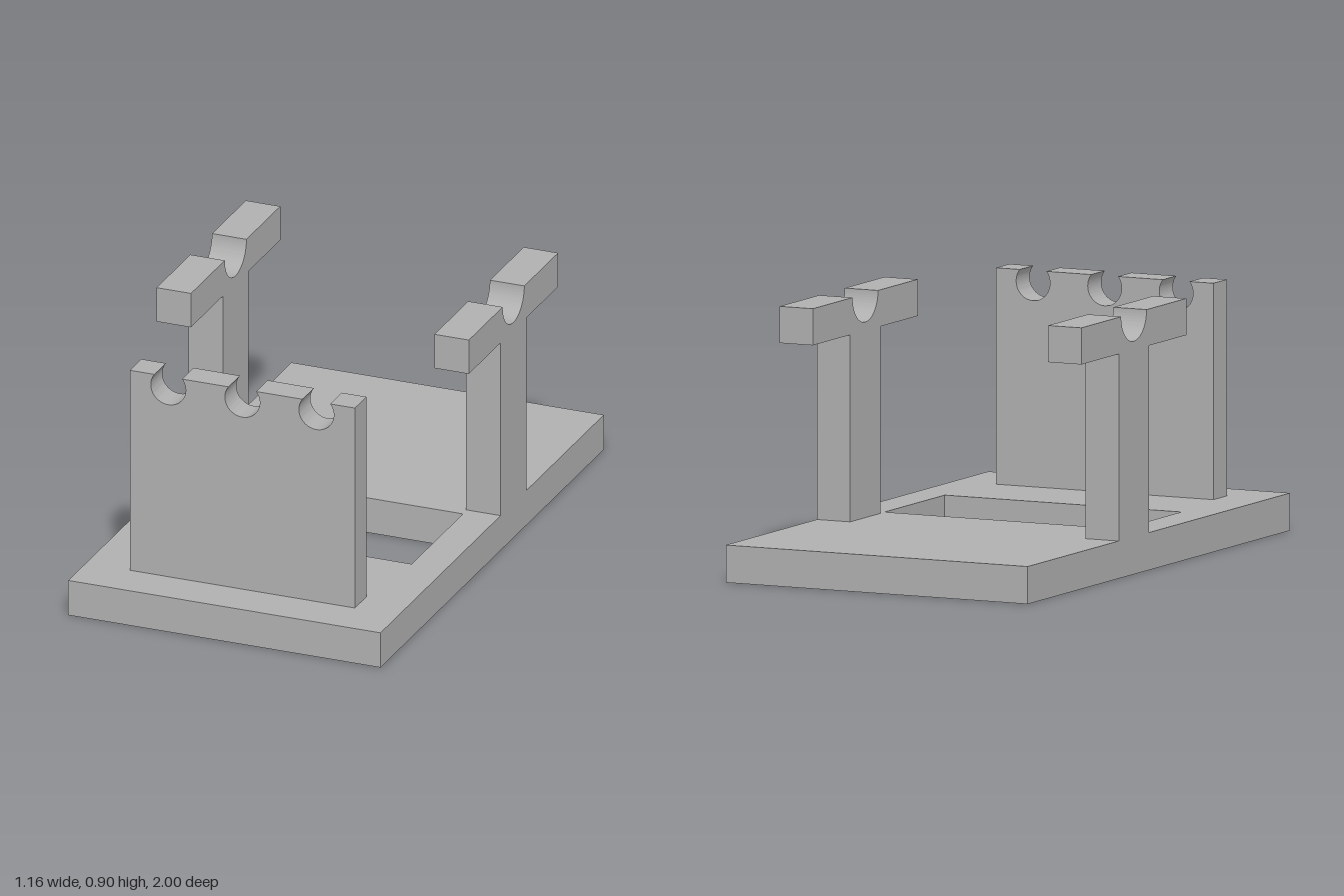
import * as THREE from 'three';
import { toCreasedNormals } from 'three/addons/utils/BufferGeometryUtils.js';

const grey = new THREE.MeshStandardMaterial({ color: 0xb0b0b0 });
grey.name = 'grey';

const BASE_TOP = 0.13;

function extrude(shape, depth) {
  const geometry = new THREE.ExtrudeGeometry(shape, { depth, bevelEnabled: false, curveSegments: 32 });
  return toCreasedNormals(geometry, 0.5);
}

function part(name, geometry) {
  const mesh = new THREE.Mesh(geometry, grey);
  mesh.name = name;
  return mesh;
}

// Cuts a round notch into a top edge that is being drawn from right to left
function notch(shape, x, y, radius, topY) {
  const a = Math.asin((topY - y) / radius);
  shape.lineTo(x + radius * Math.cos(a), topY);
  shape.absarc(x, y, radius, a, Math.PI - a, true);
}

// Flat base plate with a rectangular opening
function makeBase() {
  const shape = new THREE.Shape([[-0.58, -1], [0.58, -1], [0.58, 1], [-0.58, 1]]
    .map(([x, y]) => new THREE.Vector2(x, y)));
  shape.holes.push(new THREE.Path([[-0.455, -0.42], [-0.455, 0.04], [0.455, 0.04], [0.455, -0.42]]
    .map(([x, y]) => new THREE.Vector2(x, y))));
  return part('base', extrude(shape, BASE_TOP).rotateX(-Math.PI / 2));
}

// Upright front panel with three round notches
function makePanel() {
  const top = 0.88;
  const shape = new THREE.Shape();
  shape.moveTo(-0.418, BASE_TOP);
  shape.lineTo(0.418, BASE_TOP);
  shape.lineTo(0.418, top);
  for (const x of [0.275, 0, -0.275]) notch(shape, x, 0.84, 0.065, top);
  shape.lineTo(-0.418, top);
  shape.closePath();
  return part('notchedPanel', extrude(shape, 0.103).translate(0, 0, 0.736));
}

// T-shaped side support with a half-round cradle, drawn about its own centre
function makeSupport(side) {
  const stem = 0.115, arm = 0.4, under = 0.778, top = 0.905, width = 0.128;
  const shape = new THREE.Shape();
  shape.moveTo(-stem, BASE_TOP);
  shape.lineTo(stem, BASE_TOP);
  shape.lineTo(stem, under);
  shape.lineTo(arm, under);
  shape.lineTo(arm, top);
  notch(shape, 0, top, 0.097, top);
  shape.lineTo(-arm, top);
  shape.lineTo(-arm, under);
  shape.lineTo(-stem, under);
  shape.closePath();
  const geometry = extrude(shape, width).translate(0, 0, -width / 2).rotateY(-Math.PI / 2);
  const mesh = part(side > 0 ? 'leftSupport' : 'rightSupport', geometry);
  mesh.position.set(side * (0.58 - width / 2), 0, -0.191);
  return mesh;
}

export function createModel() {
  const model = new THREE.Group();
  model.name = 'cradleStand';
  model.add(makeBase(), makePanel(), makeSupport(1), makeSupport(-1));
  return model;
}
